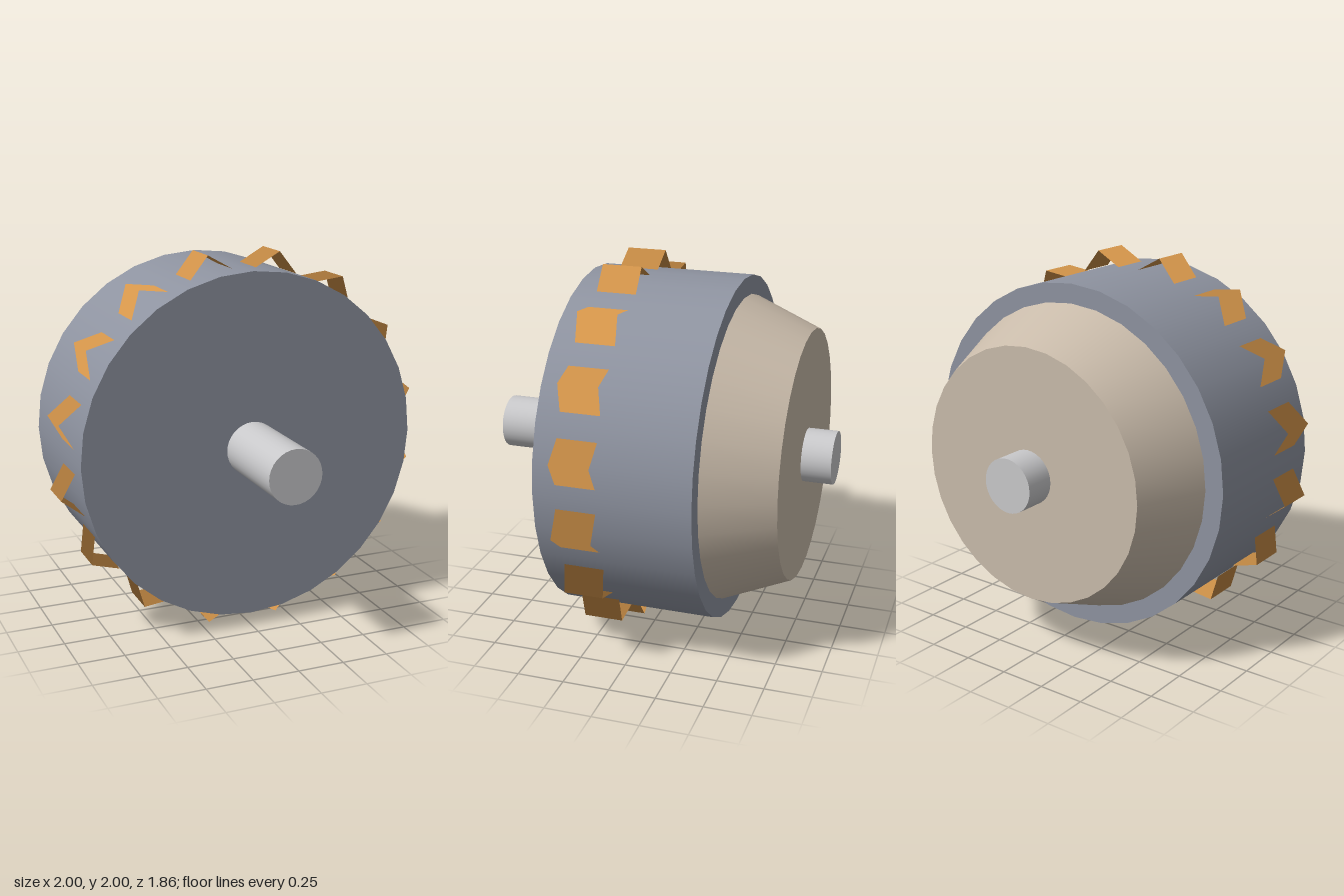
import * as THREE from 'three';

const mat = (name, color, side = THREE.FrontSide) => {
  const m = new THREE.MeshStandardMaterial({ color, side });
  m.name = name;
  return m;
};

export function createModel() {
  const steel = mat('blue grey steel', 0x8e93a0);
  const tan = mat('tan housing', 0xc9bbaa);
  const silver = mat('silver', 0xc8c8ca);
  const orange = mat('orange', 0xd4954a, THREE.DoubleSide);

  const model = new THREE.Group();
  model.name = 'rotor';
  model.position.y = 1;

  // Round part along z, from zBack to zFront
  const round = (name, material, rFront, rBack, zFront, zBack) => {
    const g = new THREE.CylinderGeometry(rFront, rBack, zFront - zBack, 32);
    g.rotateX(Math.PI / 2);
    const mesh = new THREE.Mesh(g, material);
    mesh.name = name;
    mesh.position.z = (zFront + zBack) / 2;
    model.add(mesh);
  };
  round('drum', steel, 0.927, 0.927, 0.41, -0.41);
  round('taperedHousing', tan, 0.825, 0.674, -0.41, -0.77);
  round('frontShaft', silver, 0.143, 0.143, 0.93, 0.41);
  round('rearShaft', silver, 0.143, 0.143, -0.77, -0.93);

  // Thin open roof-shaped tooth: two slopes meeting at a ridge along z
  const w = 0.117, foot = 0.92, ridge = 1.02, z0 = 0.08, z1 = 0.29;
  const tooth = new THREE.BufferGeometry();
  tooth.setAttribute('position', new THREE.Float32BufferAttribute([
    -w, foot, z0, -w, foot, z1, 0, ridge, z0, 0, ridge, z1, w, foot, z0, w, foot, z1,
  ], 3));
  tooth.setIndex([0, 1, 3, 0, 3, 2, 2, 3, 5, 2, 5, 4]);
  // Soft shading across the ridge: every normal points outward
  tooth.setAttribute('normal', new THREE.Float32BufferAttribute(
    Array.from({ length: 6 }, () => [0, 1, 0]).flat(), 3));

  // Ring of sixteen teeth around the drum
  const teeth = new THREE.Group();
  teeth.name = 'teeth';
  for (let i = 0; i < 16; i++) {
    const mesh = new THREE.Mesh(tooth, orange);
    mesh.name = 'tooth';
    mesh.rotation.z = ((i + 0.5) / 16) * Math.PI * 2;
    teeth.add(mesh);
  }
  model.add(teeth);

  const root = new THREE.Group();
  root.name = 'model';
  root.add(model);
  return root;
}
